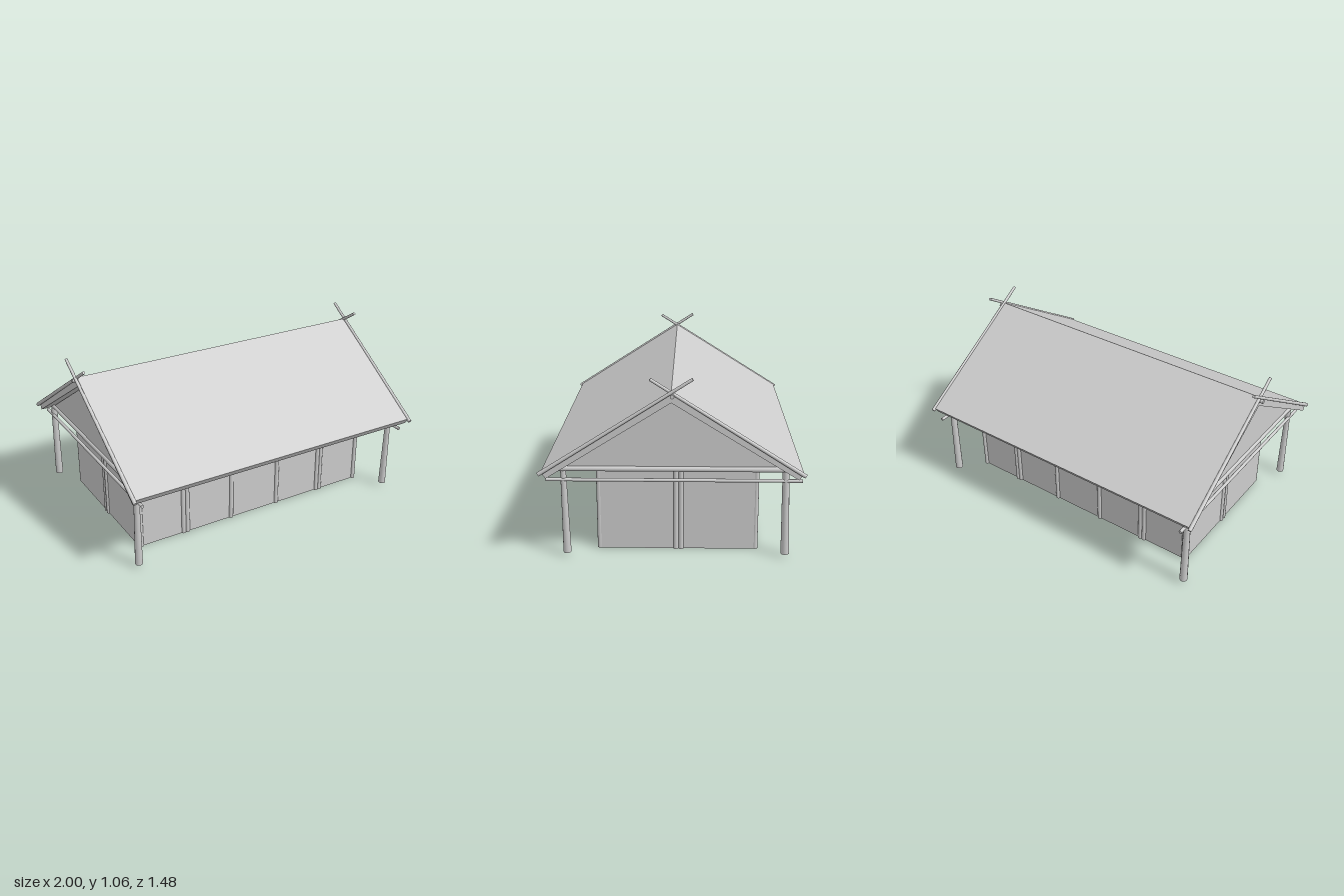
import * as THREE from 'three';

export function createModel() {
  const model = new THREE.Group();
  model.name = 'longhouse';
  const timber = new THREE.MeshStandardMaterial({ color: 0xcccccc });
  timber.name = 'pale timber';

  const add = (name, geometry, parent = model) => {
    const mesh = new THREE.Mesh(geometry, timber);
    mesh.name = name;
    parent.add(mesh);
    return mesh;
  };
  // Round pole running from point a to point b
  const pole = (name, a, b, rA, rB = rA, sides = 12) => {
    const start = new THREE.Vector3(...a), end = new THREE.Vector3(...b);
    const dir = end.clone().sub(start);
    const mesh = add(name, new THREE.CylinderGeometry(rB, rA, dir.length(), sides));
    mesh.position.copy(start).add(end).multiplyScalar(0.5);
    mesh.quaternion.setFromUnitVectors(new THREE.Vector3(0, 1, 0), dir.normalize());
    return mesh;
  };
  // Outline in the z-y plane, extruded along x about a centre
  const crossSection = (points, x, depth) => {
    const shape = new THREE.Shape(points.map(([z, y]) => new THREE.Vector2(-z, y)));
    const geometry = new THREE.ExtrudeGeometry(shape, { depth, bevelEnabled: false });
    geometry.translate(0, 0, -depth / 2);
    geometry.rotateY(Math.PI / 2);
    geometry.translate(x, 0, 0);
    return geometry;
  };
  const box = (name, w, h, d, x, y, z) =>
    add(name, new THREE.BoxGeometry(w, h, d)).position.set(x, y, z);

  // Pitched roof slab with square-cut eaves
  add('roof', crossSection([
    [0.718, 0.525], [0, 0.982], [-0.726, 0.525],
    [-0.7, 0.486], [0, 0.922], [0.692, 0.486],
  ], 0, 1.94));
  pole('ridgePole', [-0.998, 0.962, -0.005], [0.998, 0.962, -0.005], 0.012);

  // Thin open box of walls
  const left = 0.805, right = -0.815, front = 0.418, back = -0.481;
  const wallTop = 0.55, thin = 0.006;
  const midX = (left + right) / 2, midZ = (front + back) / 2;
  for (const z of [front, back])
    box('longWall', left - right, wallTop, thin, midX, wallTop / 2, z);
  for (const x of [left, right])
    box('endWall', thin, wallTop, front - back, x, wallTop / 2, midZ);

  // Wall posts, doubled at the panel joints
  const wallPost = (x, z) => pole('wallPost', [x, 0, z], [x, wallTop, z], 0.015);
  for (const z of [front, back])
    for (const x of [right + 0.01, -0.515, -0.488, -0.175, 0.165, 0.485, 0.51, left - 0.01])
      wallPost(x, z);
  for (const x of [left, right])
    for (const z of [-0.022, -0.052]) wallPost(x, z);

  for (const s of [-1, 1]) {
    const x = s * 0.905;
    // Gable triangle, tie beam and lower cross pole
    add('gable', crossSection([[0.6, 0.54], [0, 0.922], [-0.605, 0.54]], x, thin));
    pole('tieBeam', [x, 0.524, 0.635], [x, 0.524, -0.645], 0.015);
    pole('crossPole', [s * 0.915, 0.462, 0.7], [s * 0.915, 0.462, -0.727], 0.01);

    // Slightly leaning outer posts
    pole('outerPost', [x, 0.02, 0.595], [x, 0.515, 0.603], 0.023, 0.016);
    pole('outerPost', [x, 0.02, -0.643], [x, 0.515, -0.633], 0.024, 0.019);

    // Crossed verge poles
    pole('vergePole', [s * 0.972, 0.512, 0.732], [s * 0.984, 1.056, -0.115], 0.012, 0.009);
    pole('vergePole', [s * 0.978, 0.512, -0.735], [s * 0.97, 1.052, 0.114], 0.012, 0.009);
  }
  return model;
}
